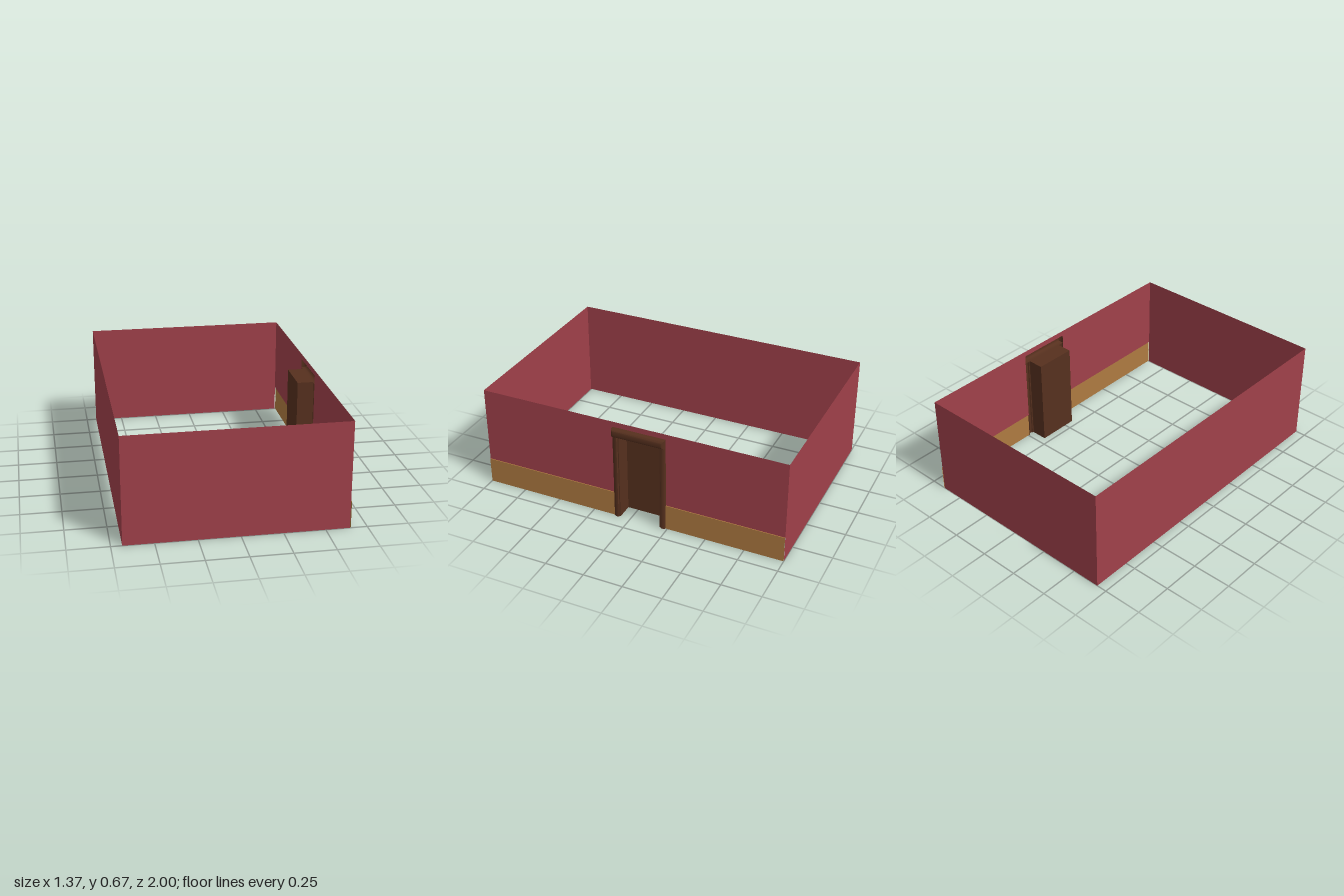
import * as THREE from 'three';
import { toCreasedNormals } from 'three/addons/utils/BufferGeometryUtils.js';

const paint = (color) => new THREE.MeshStandardMaterial({ color, side: THREE.DoubleSide });
const red = paint(0xa0404a);
const ochre = paint(0xae7a40);
const wood = paint(0x56301e);

const XL = -0.684, XR = 0.645, XD = 0.65; // left wall, right wall, dado face
const H = 0.668, DADO = 0.168;            // wall and dado heights
const Z0 = -0.24, Z1 = 0.107;             // door frame, outer edges
const IN0 = -0.2, IN1 = 0.067;            // doorway, inner edges
const LINTEL = 0.577, TOP = 0.633;        // doorway and frame heights

function add(parent, name, geometry, material) {
  const mesh = new THREE.Mesh(geometry, material);
  mesh.name = name;
  parent.add(mesh);
  return mesh;
}

// Surface through successive rows of points, all rows the same length
function loft(rows, crease = 0.6) {
  const pos = [];
  for (let i = 0; i + 1 < rows.length; i++) {
    for (let j = 0; j + 1 < rows[i].length; j++) {
      const a = rows[i][j], b = rows[i][j + 1], c = rows[i + 1][j + 1], d = rows[i + 1][j];
      pos.push(...a, ...b, ...c, ...a, ...c, ...d);
    }
  }
  const g = new THREE.BufferGeometry();
  g.setAttribute('position', new THREE.Float32BufferAttribute(pos, 3));
  g.computeVertexNormals();
  return toCreasedNormals(g, crease);
}

// Upright panel facing +x, outlined by [z, y] points
function sidePanel(x, points) {
  const shape = new THREE.Shape(points.map(([z, y]) => new THREE.Vector2(-z, y)));
  return new THREE.ShapeGeometry(shape).rotateY(Math.PI / 2).translate(x, 0, 0);
}

const rect = (za, zb, ya, yb) => [[za, ya], [zb, ya], [zb, yb], [za, yb]];

// Lintel moulding: rectangular rings shrinking towards a rounded outer face
function lintelGeometry() {
  const cx = (Z0 + Z1) / 2, cy = (LINTEL + TOP) / 2;
  const steps = [[0, 0], [0.018, 0], [0.027, 0.004], [0.033, 0.01], [0.036, 0.018], [0.036, 0.028]];
  const rows = steps.map(([out, inset]) => {
    const w = (Z1 - Z0) / 2 - inset, h = (TOP - LINTEL) / 2 - inset;
    return [[1, -1], [-1, -1], [-1, 1], [1, 1], [1, -1]]
      .map(([sz, sy]) => [XR + out, cy + sy * h, cx + sz * w]);
  });
  return loft(rows.map((r) => r.slice().reverse()).reverse(), 0.7);
}

// Post moulding: a shallow rounded section, open at the back
function postGeometry(outer, inner) {
  const profile = [[0, 0], [0, 0.005], [0.1, 0.01], [0.3, 0.014], [0.55, 0.016],
    [0.75, 0.014], [0.82, 0.01], [0.84, 0.006], [1, 0.006], [1, 0]];
  const row = (y) => profile.map(([t, out]) => [XR + out, y, outer + (inner - outer) * t]);
  const rows = [row(0), row(LINTEL)];
  return loft(outer > inner ? rows.map((r) => r.reverse()).reverse() : rows.map((r) => r.reverse()), 0.7);
}

export function createModel() {
  const model = new THREE.Group();

  // Plain walls
  const walls = new THREE.Group();
  walls.name = 'walls';
  model.add(walls);
  for (const [name, z, turn] of [['frontWall', 1, 0], ['backWall', -1, Math.PI]]) {
    const g = new THREE.PlaneGeometry(XR - XL, H).rotateY(turn);
    add(walls, name, g.translate((XL + XR) / 2, H / 2, z), red);
  }
  add(walls, 'plainSideWall', new THREE.PlaneGeometry(2, H).rotateY(-Math.PI / 2).translate(XL, H / 2, 0), red);

  // Doorway wall above the dado, notched around the frame
  add(walls, 'doorwayWall', sidePanel(XR, [[1, DADO], [Z1, DADO], [Z1, TOP], [Z0, TOP],
    [Z0, DADO], [-1, DADO], [-1, H], [1, H]]), red);

  // Dado panels and their narrow top ledges
  const dado = new THREE.Group();
  dado.name = 'dado';
  model.add(dado);
  for (const [za, zb] of [[1, Z1], [Z0, -1]]) {
    add(dado, 'dadoPanel', sidePanel(XD, rect(za, zb, 0, DADO)), ochre);
    const ledge = new THREE.PlaneGeometry(XD - XR, za - zb).rotateX(-Math.PI / 2);
    add(dado, 'dadoLedge', ledge.translate((XD + XR) / 2, DADO, (za + zb) / 2), ochre);
  }

  // Recessed doorway, open at the floor and towards the outside
  const door = new THREE.Group();
  door.name = 'doorway';
  model.add(door);
  const back = 0.545, depth = XR - back, mid = (XR + back) / 2;
  add(door, 'doorPanel', sidePanel(back, rect(IN1, IN0, 0, LINTEL)), wood);
  for (const [z, turn] of [[IN0, 0], [IN1, Math.PI]]) {
    const reveal = new THREE.PlaneGeometry(depth, LINTEL).rotateY(turn);
    add(door, 'doorReveal', reveal.translate(mid, LINTEL / 2, z), wood);
  }
  const ceiling = new THREE.PlaneGeometry(depth, IN1 - IN0).rotateX(Math.PI / 2);
  add(door, 'doorwayCeiling', ceiling.translate(mid, LINTEL, (IN0 + IN1) / 2), wood);

  // Door frame
  add(door, 'leftPost', postGeometry(Z1, IN1), wood);
  add(door, 'rightPost', postGeometry(Z0, IN0), wood);
  add(door, 'lintel', lintelGeometry(), wood);

  return model;
}
